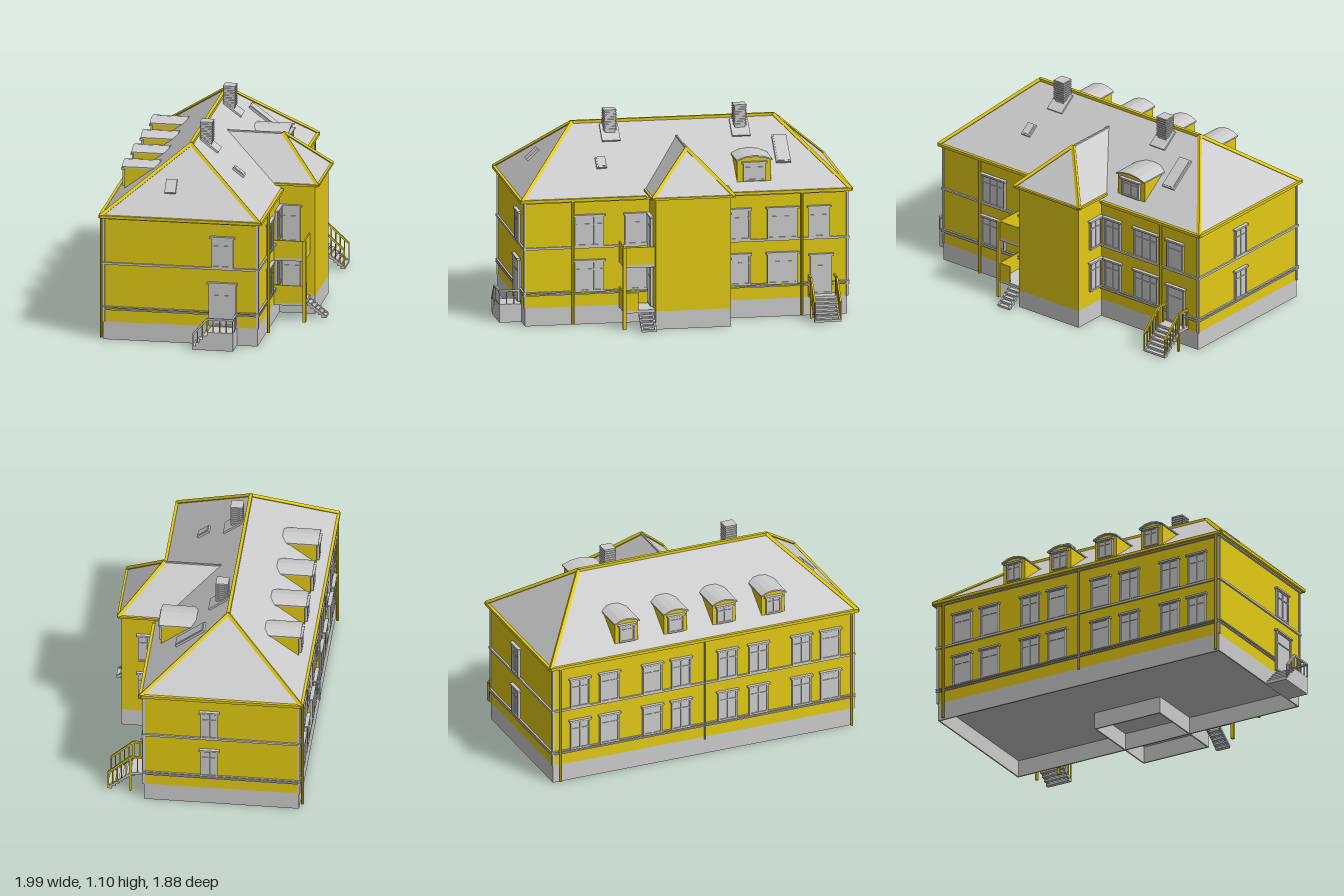
import * as THREE from 'three';

const mat = (color, side = THREE.FrontSide) => new THREE.MeshStandardMaterial({ color, side, flatShading: true });
const grey = mat(0xcccccc), yellow = mat(0xe2ca14), greyThin = mat(0xcccccc, THREE.DoubleSide);
const V = (x, y, z) => new THREE.Vector3(x, y, z);

// House axes: x along the long front, z out of the front wall.
const L = 0.88, W = 0.42, EL = 0.9, EW = 0.438, EAVE = 0.69, RIDGE = 1.02, RL = 0.55;
const slopeY = (z) => EAVE + (RIDGE - EAVE) * (1 - Math.abs(z) / EW);

function add(parent, name, geo, m, x = 0, y = 0, z = 0) {
  const mesh = new THREE.Mesh(geo, m);
  mesh.name = name;
  mesh.position.set(x, y, z);
  parent.add(mesh);
  return mesh;
}

// Box given by its limits on each axis
function block(parent, name, m, x0, x1, y0, y1, z0, z1) {
  return add(parent, name, new THREE.BoxGeometry(x1 - x0, y1 - y0, z1 - z0), m, (x0 + x1) / 2, (y0 + y1) / 2, (z0 + z1) / 2);
}

function sub(parent, name, x, y, z, ry = 0) {
  const g = new THREE.Group();
  g.name = name;
  g.position.set(x, y, z);
  g.rotation.y = ry;
  parent.add(g);
  return g;
}

// Straight square bar between two points
function bar(parent, name, a, b, t, m) {
  const d = b.clone().sub(a), mid = a.clone().add(b).multiplyScalar(0.5);
  const mesh = add(parent, name, new THREE.BoxGeometry(t, d.length(), t), m, mid.x, mid.y, mid.z);
  mesh.quaternion.setFromUnitVectors(V(0, 1, 0), d.normalize());
}

// Flat polygons, each a fan of corners in counterclockwise order
function polygons(list) {
  const pts = [];
  for (const p of list) for (let i = 1; i < p.length - 1; i++) pts.push(p[0], p[i], p[i + 1]);
  const g = new THREE.BufferGeometry().setFromPoints(pts);
  g.computeVertexNormals();
  return g;
}

// Hollow plinth of four thin walls
function skirt(parent, name, x0, x1, z0, z1, h) {
  const t = 0.008, g = sub(parent, name, 0, 0, 0);
  for (const x of [x0, x1 - t]) block(g, 'plinthSide', grey, x, x + t, 0, h, z0, z1);
  for (const z of [z0, z1 - t]) block(g, 'plinthFace', grey, x0, x1, 0, h, z, z + t);
  block(g, 'floor', grey, x0, x1, h - 0.006, h, z0, z1);
}

// Window or door, standing on y with its outer face along local z
function opening(parent, name, x, y, z, ry, w, h, door = false) {
  const g = sub(parent, name, x, y, z, ry), f = 0.009;
  const s = new THREE.Shape([[-w / 2, 0], [w / 2, 0], [w / 2, h], [-w / 2, h]].map((p) => new THREE.Vector2(...p)));
  s.holes.push(new THREE.Path([[f - w / 2, f], [f - w / 2, h - f], [w / 2 - f, h - f], [w / 2 - f, f]].map((p) => new THREE.Vector2(...p))));
  add(g, 'frame', new THREE.ExtrudeGeometry(s, { depth: 0.014, bevelEnabled: false }), grey);
  block(g, 'pane', grey, -w / 2 + f, w / 2 - f, f, h - f, -0.01, 0.008);
  const bars = w > 0.15 ? [-w / 6, w / 6] : [0];
  if (!door) for (const c of bars) block(g, 'mullion', grey, c - 0.003, c + 0.003, f, h - f, 0, 0.012);
  block(g, 'transom', grey, -w / 2, w / 2, h * 0.7, h * 0.7 + 0.006, 0, 0.012);
  block(g, 'lintel', grey, -w / 2 - 0.008, w / 2 + 0.008, h - 0.004, h + 0.006, 0, 0.02);
}

// Steps descending along local z
function stairs(parent, name, x, z, ry, w, run, top, n, solid) {
  const g = sub(parent, name, x, 0, z, ry), d = run / n;
  for (let i = 0; i < n; i++) {
    const y = top * (1 - (i + 1) / (n + 1));
    block(g, 'step', grey, -w / 2, w / 2, solid ? 0 : y - 0.012, y, i * d, (i + 1) * d + 0.004);
  }
  if (!solid) for (const s of [-1, 1]) bar(g, 'stringer', V(s * w * 0.45, top - 0.015, 0), V(s * w * 0.45, 0.01, run), 0.012, grey);
}

// Handrail over a path of foot points, with posts
function railing(parent, name, feet, h, m) {
  const g = sub(parent, name, 0, 0, 0), up = V(0, h, 0);
  for (let i = 0; i < feet.length - 1; i++) {
    const a = feet[i], b = feet[i + 1], n = Math.max(2, Math.round(a.distanceTo(b) / 0.035));
    bar(g, 'handrail', a.clone().add(up), b.clone().add(up), 0.01, m);
    for (let k = 0; k <= n; k++) {
      const p = a.clone().lerp(b, k / n);
      bar(g, 'post', p, p.clone().add(up), 0.006, m);
    }
  }
}

// Dormer with a shallow arched roof, face toward local z
function dormer(parent, x, z, ry, w, depth) {
  const base = slopeY(z), g = sub(parent, 'dormer', x, base - 0.01, z, ry), h = 0.125, rise = 0.022;
  const arch = (hw, y, r) => [-1, -0.5, 0, 0.5, 1].map((t) => new THREE.Vector2(t * hw, y + r * (1 - t * t)));
  const face = new THREE.Shape([new THREE.Vector2(w / 2, 0), ...arch(w / 2, h, rise).reverse(), new THREE.Vector2(-w / 2, 0)].reverse());
  add(g, 'dormerBody', new THREE.ExtrudeGeometry(face, { depth, bevelEnabled: false }), yellow, 0, 0, -depth);
  const cover = new THREE.Shape([...arch(w / 2 + 0.006, h, rise), ...arch(w / 2 + 0.006, h + 0.008, rise).reverse()]);
  add(g, 'dormerRoof', new THREE.ExtrudeGeometry(cover, { depth: depth + 0.018, bevelEnabled: false }), grey, 0, 0, -depth - 0.006);
  opening(g, 'dormerWindow', 0, 0.015, 0, 0, w * 0.66, 0.1);
}

export function createModel() {
  const model = new THREE.Group();
  model.name = 'house';
  const house = sub(model, 'building', -0.028, 0, 0, 0.747);

  // Main block and wing
  skirt(house, 'mainPlinth', -L, L, -W, W, 0.1);
  block(house, 'mainWalls', yellow, -L, L, 0.1, EAVE, -W, W);
  skirt(house, 'wingPlinth', -0.2, 0.21, 0.1, 0.615, 0.1);
  block(house, 'wingWalls', yellow, -0.2, 0.21, 0.1, 0.722, 0.1, 0.615);
  for (const [y, t] of [[0.166, 0.007], [0.179, 0.007], [0.42, 0.012]]) block(house, 'wallBand', grey, -L - 0.01, L + 0.01, y, y + t, -W - 0.01, W + 0.01);
  block(house, 'cornice', grey, -L - 0.012, L + 0.012, 0.675, 0.692, -W - 0.012, W + 0.012);

  // Hipped main roof
  const A = V(-EL, EAVE, EW), B = V(EL, EAVE, EW), C = V(EL, EAVE, -EW), D = V(-EL, EAVE, -EW);
  const P = V(-RL, RIDGE, 0), Q = V(RL, RIDGE, 0);
  add(house, 'mainRoof', polygons([[A, B, Q, P], [C, D, P, Q], [B, C, Q], [D, A, P], [D, C, B, A]]), grey);
  for (const [a, b] of [[A, P], [D, P], [B, Q], [C, Q], [P, Q]]) bar(house, 'ridgeCap', a, b, 0.018, yellow);
  for (const [a, b] of [[B, C], [C, D], [D, A], [A, V(-0.22, EAVE, EW)], [V(0.23, EAVE, EW), B]]) bar(house, 'gutter', a, b, 0.016, yellow);

  // Hipped wing roof running back into the main slope
  const wy = 0.722, R0 = V(0.004, 0.945, 0.1), R1 = V(0.004, 0.945, 0.405);
  const a0 = V(-0.22, wy, 0.396), a1 = V(-0.22, wy, 0.632), b0 = V(0.228, wy, 0.396), b1 = V(0.228, wy, 0.632);
  add(house, 'wingRoof', polygons([[R0, a0, a1, R1], [R0, R1, b1, b0], [R1, a1, b1], [a0, b0, b1, a1]]), greyThin);
  for (const [a, b] of [[R1, a1], [R1, b1]]) bar(house, 'wingHipCap', a, b, 0.018, yellow);
  bar(house, 'wingRidge', R0, R1, 0.008, grey);
  for (const [a, b] of [[a0, a1], [a1, b1], [b1, b0]]) bar(house, 'wingGutter', a, b, 0.012, yellow);

  // Windows on both floors
  const H = Math.PI / 2, low = 0.183, high = 0.432;
  for (const y of [low, high]) {
    for (const [x, w] of [[-0.53, 0.16], [0.295, 0.11], [0.525, 0.165]]) opening(house, 'frontWindow', x, y, W, 0, w, 0.168);
    for (const x of [0.724, 0.552, 0.3, 0.132, -0.14, -0.322, -0.574, -0.743]) opening(house, 'backWindow', x, y, -W, Math.PI, 0.113, 0.168);
    opening(house, 'endWindow', L, y, 0.065, H, 0.095, 0.168);
    opening(house, 'wingWindow', 0.21, y, 0.478, H, 0.095, 0.168);
    opening(house, 'balconyWindow', -0.275, y, W, 0, 0.12, 0.168);
  }
  opening(house, 'frontWindow', 0.725, high, W, 0, 0.115, 0.168);
  opening(house, 'endWindow', -L, high, 0.23, -H, 0.12, 0.168);
  opening(house, 'wingBalconyDoor', -0.2, 0.4, 0.485, -H, 0.1, 0.2, true);

  // Doors
  opening(house, 'frontDoor', 0.735, 0.12, W + 0.006, 0, 0.12, 0.215, true);
  opening(house, 'endDoor', -L - 0.006, 0.11, 0.23, -H, 0.15, 0.235, true);
  opening(house, 'wingDoor', -0.2, 0.11, 0.485, -H, 0.1, 0.22, true);

  // Downpipes and corner strips
  for (const [x, z] of [[-0.62, W], [0.632, W], [0.84, -W], [-0.865, -W]])
    add(house, 'downpipe', new THREE.CylinderGeometry(0.008, 0.008, 0.68, 8), yellow, x, 0.345, z + Math.sign(z) * 0.014);
  add(house, 'backDownpipe', new THREE.CylinderGeometry(0.006, 0.006, 0.6, 8), grey, -0.007, 0.39, -W - 0.012);
  for (const x of [-L, L]) for (const z of [-W, W]) block(house, 'cornerStrip', grey, x - 0.006, x + 0.006, 0.1, 0.68, z - 0.006, z + 0.006);

  // Dormers
  for (const x of [-0.43, -0.143, 0.143, 0.43]) dormer(house, x, -0.375, Math.PI, 0.135, 0.18);
  dormer(house, 0.38, 0.372, 0, 0.185, 0.18);

  // Chimneys with slatted heads
  const tilt = Math.atan2(RIDGE - EAVE, EW);
  for (const x of [-0.355, 0.355]) {
    const g = sub(house, 'chimney', x, 0, 0.052);
    block(g, 'stack', grey, -0.028, 0.028, 0.9, 1.095, -0.028, 0.028);
    for (let i = 0; i < 9; i++) block(g, 'slat', grey, -0.034, 0.034, 0.985 + i * 0.0132, 0.993 + i * 0.0132, -0.034, 0.034);
    add(g, 'flashing', new THREE.BoxGeometry(0.1, 0.02, 0.12), grey, 0, slopeY(0.07), 0.018).rotation.x = tilt;
  }

  // Skylights
  for (const [x, z, w, d] of [[-0.434, 0.238, 0.055, 0.075], [0.558, 0.2, 0.08, 0.19]]) {
    const g = sub(house, 'skylight', x, slopeY(z), z);
    g.rotation.x = tilt;
    block(g, 'skylightFrame', grey, -w / 2, w / 2, -0.01, 0.012, -d / 2, d / 2);
    block(g, 'skylightGlass', grey, -w / 2 + 0.008, w / 2 - 0.008, 0, 0.015, -d / 2 + 0.008, d / 2 - 0.008);
  }
  add(house, 'endSkylight', new THREE.BoxGeometry(0.085, 0.024, 0.06), grey, -0.751, 0.832, -0.075).rotation.z = Math.atan2(RIDGE - EAVE, EL - RL);

  // Two-level balcony beside the wing
  for (const [y, edge] of [[0.35, -0.2], [0.1, -0.29]]) {
    block(house, 'balconyFloor', grey, -0.367, -0.2, y - 0.012, y + 0.004, W, 0.586);
    block(house, 'balconySidePanel', yellow, -0.367, -0.36, y, y + 0.1, W, 0.586);
    block(house, 'balconyFrontPanel', yellow, -0.367, edge, y, y + 0.1, 0.579, 0.586);
  }
  block(house, 'balconyPost', yellow, -0.375, -0.357, 0, 0.45, 0.576, 0.594);
  stairs(house, 'wingStairs', -0.248, 0.586, 0, 0.08, 0.1, 0.1, 5, false);

  // Front entrance stairs
  block(house, 'frontLanding', grey, 0.667, 0.812, 0.105, 0.12, W, 0.5);
  stairs(house, 'frontStairs', 0.74, 0.5, 0, 0.145, 0.12, 0.12, 6, false);
  for (const x of [0.67, 0.81]) {
    railing(house, 'frontRailing', [V(x, 0.12, 0.425), V(x, 0.12, 0.5), V(x, 0.01, 0.62)], 0.1, yellow);
    block(house, 'landingPost', yellow, x - 0.006, x + 0.006, 0, 0.22, 0.494, 0.506);
  }

  // End porch
  block(house, 'endPorch', grey, -1, -L, 0, 0.1, 0.165, 0.307);
  stairs(house, 'endStairs', -0.94, 0.165, Math.PI, 0.12, 0.078, 0.1, 4, true);
  railing(house, 'endRailing', [V(-1, 0.01, 0.088), V(-1, 0.1, 0.165), V(-1, 0.1, 0.305), V(-L, 0.1, 0.305)], 0.075, grey);
  return model;
}
